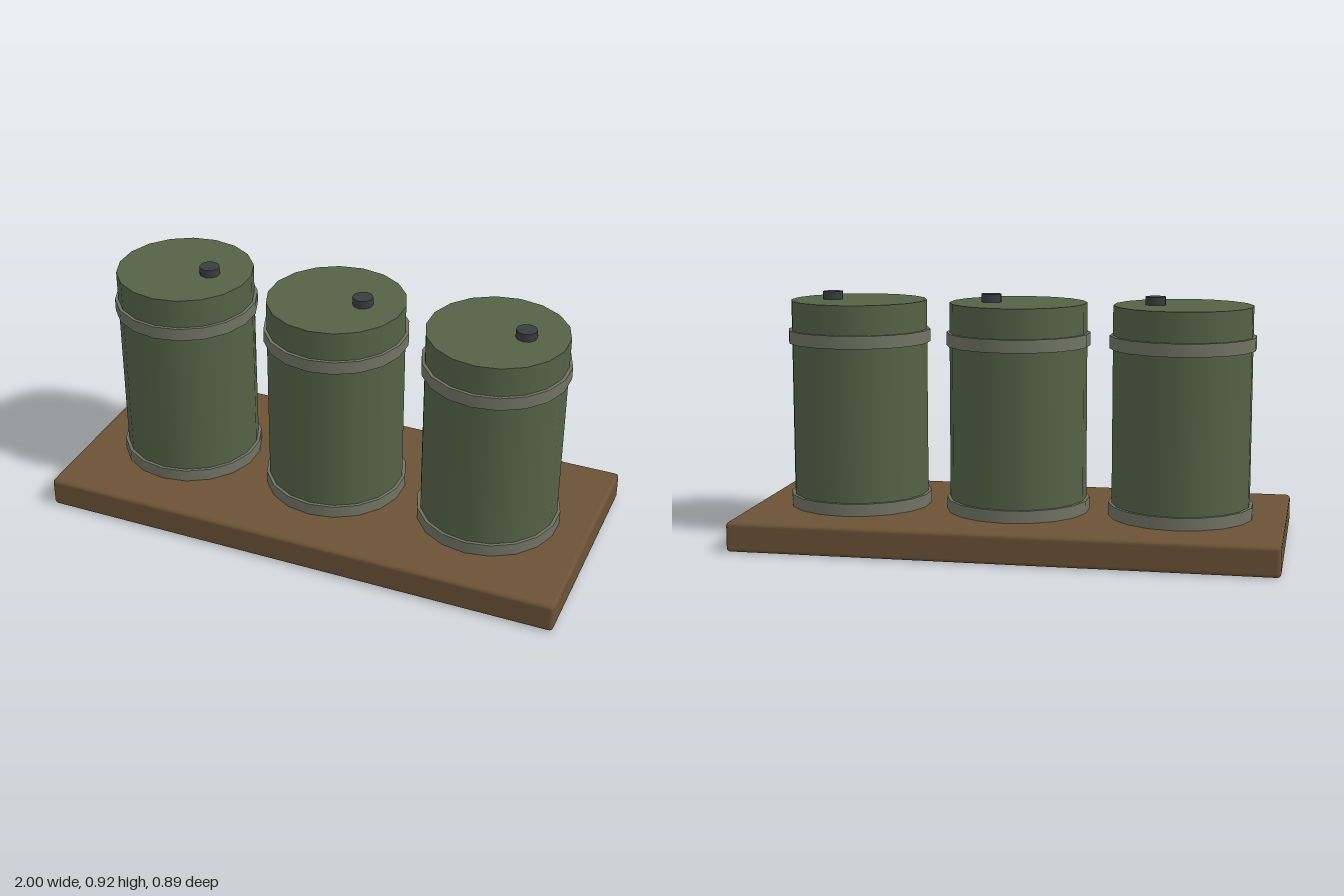
import * as THREE from 'three';
import { RoundedBoxGeometry } from 'three/addons/geometries/RoundedBoxGeometry.js';

const paint = (color) => new THREE.MeshStandardMaterial({ color });
const wood = paint(0x6b5236);
const green = paint(0x556146);
const steel = paint(0x707362);
const dark = paint(0x3a3c3f);

// Upright cylinder spanning y0..y1
function drum(name, radius, y0, y1, sides, material, x = 0) {
  const mesh = new THREE.Mesh(new THREE.CylinderGeometry(radius, radius, y1 - y0, sides), material);
  mesh.position.set(x, (y0 + y1) / 2, 0);
  mesh.name = name;
  return mesh;
}

// One barrel with two hoops and an off-centre filler cap
function createBarrel() {
  const barrel = new THREE.Group();
  barrel.name = 'barrel';
  barrel.add(
    drum('barrelBody', 0.256, 0, 0.89, 18, green),
    drum('lowerHoop', 0.268, 0.11, 0.158, 18, steel),
    drum('upperHoop', 0.268, 0.732, 0.78, 18, steel),
    drum('fillerCap', 0.038, 0.885, 0.92, 10, dark, 0.102),
  );
  return barrel;
}

export function createModel() {
  const model = new THREE.Group();
  model.name = 'barrelsOnPallet';

  // Plank base with softened edges; the barrels are sunk through it
  const base = new THREE.Mesh(new RoundedBoxGeometry(2, 0.111, 0.89, 2, 0.015), wood);
  base.position.y = 0.0565;
  base.name = 'base';
  model.add(base);

  for (const x of [-0.612, 0, 0.612]) {
    const barrel = createBarrel();
    barrel.position.x = x;
    model.add(barrel);
  }
  return model;
}
